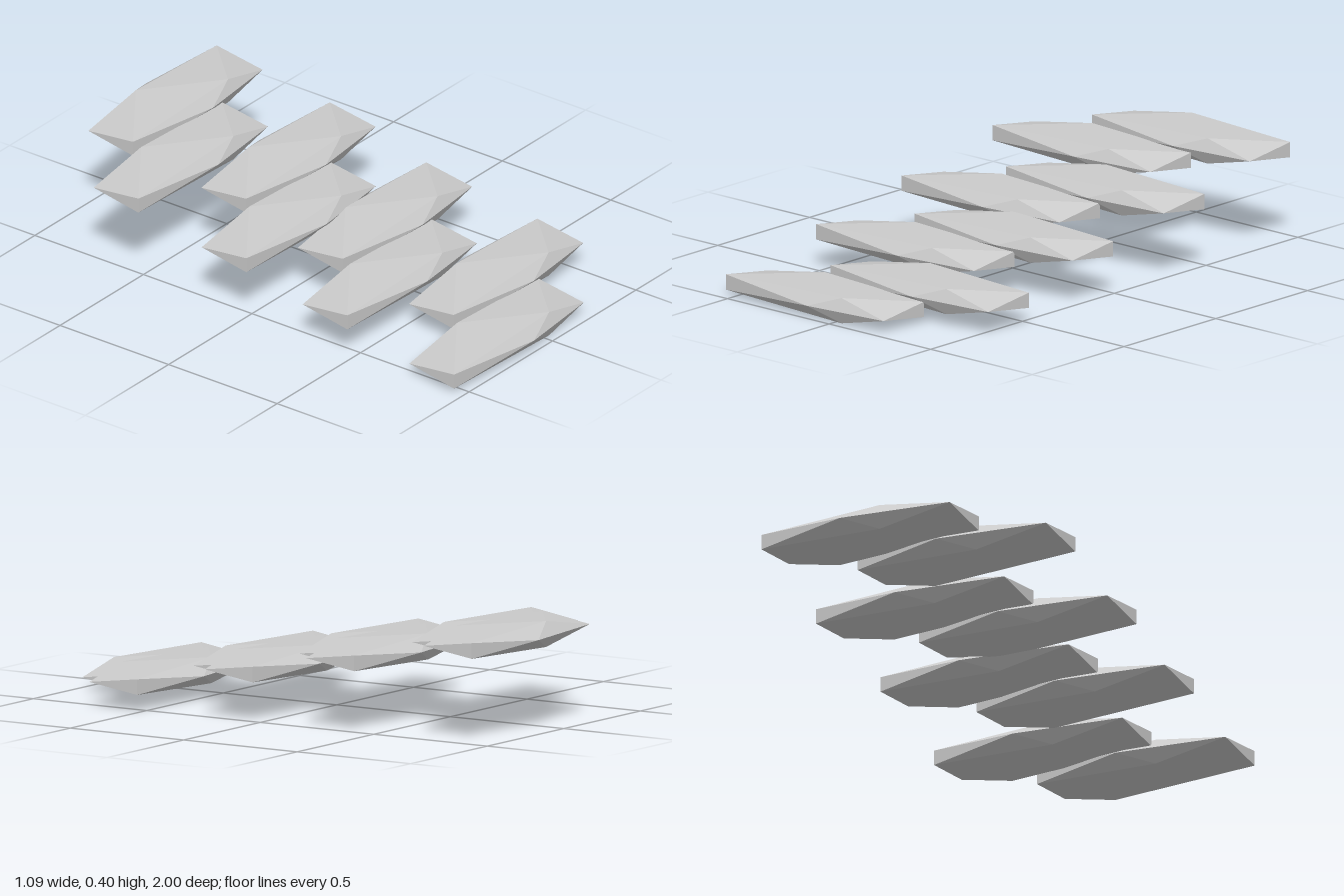
import * as THREE from 'three';
import { ConvexGeometry } from 'three/addons/geometries/ConvexGeometry.js';

// Faceted stone: two poles on z and two five-cornered rings facing opposite ways
function stoneGeometry() {
  const points = [[0, 0, -0.155], [0, 0, 0.155]];
  // Back ring: single corner on -x, pair on +x
  points.push([-0.42, 0, -0.097]);
  // Front ring: single corner on +x, pair on -x
  points.push([0.345, 0, 0.118]);
  for (const s of [1, -1]) {
    points.push([-0.135, 0.048 * s, -0.097], [0.35, 0.029 * s, -0.097]);
    points.push([0.138, 0.048 * s, 0.118], [-0.432, 0.029 * s, 0.118]);
  }
  return new ConvexGeometry(points.map((p) => new THREE.Vector3(...p)));
}

export function createModel() {
  const group = new THREE.Group();
  group.name = 'steppingStones';
  const geometry = stoneGeometry();
  const material = new THREE.MeshStandardMaterial({ color: 0xcccccc, flatShading: true });

  // Stones rise evenly to the back, alternating between the two sides
  const xs = [-0.11, 0.193, -0.11, 0.165];
  const zs = [0.845, 0.61, 0.353, 0.12, -0.112, -0.346, -0.609, -0.845];
  zs.forEach((z, i) => {
    const stone = new THREE.Mesh(geometry, material);
    stone.name = `stone${i + 1}`;
    stone.position.set(xs[i % 4], 0.048 + i * 0.0429, z);
    group.add(stone);
  });
  return group;
}
